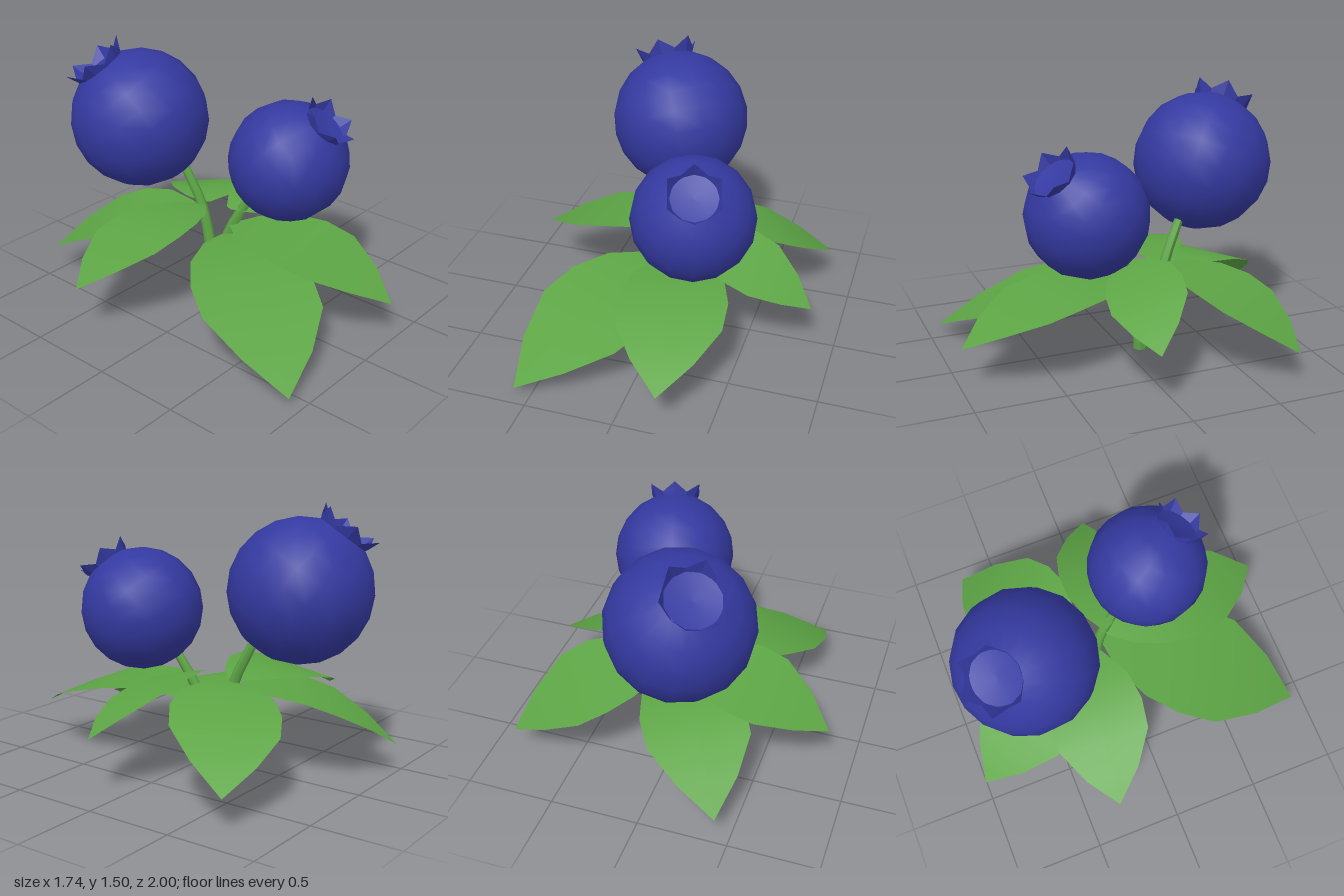
import * as THREE from 'three';

const blue = new THREE.MeshStandardMaterial({ color: 0x3439a0 });
const blueThin = new THREE.MeshStandardMaterial({ color: 0x3439a0, side: THREE.DoubleSide, flatShading: true });
const green = new THREE.MeshStandardMaterial({ color: 0x5da545 });
const greenThin = new THREE.MeshStandardMaterial({ color: 0x5da545, side: THREE.DoubleSide });

const V = (x, y, z) => new THREE.Vector3(x, y, z);

function addMesh(parent, name, geometry, material) {
  const mesh = new THREE.Mesh(geometry, material);
  mesh.name = name;
  parent.add(mesh);
  return mesh;
}

// Ring of six pointed teeth for a berry of radius 1
function crownGeometry(phase) {
  const n = 12, pos = [], index = [];
  for (let i = 0; i < n; i++) {
    const a = phase + (i / n) * Math.PI * 2;
    const [topR, topY] = i % 2 ? [0.4, 0.98] : [0.47, 1.13];
    pos.push(0.37 * Math.sin(a), 0.92, 0.37 * Math.cos(a));
    pos.push(topR * Math.sin(a), topY, topR * Math.cos(a));
    const b = i * 2, c = ((i + 1) % n) * 2;
    index.push(b, c, b + 1, c, c + 1, b + 1);
  }
  const g = new THREE.BufferGeometry();
  g.setAttribute('position', new THREE.Float32BufferAttribute(pos, 3));
  g.setIndex(index);
  g.computeVertexNormals();
  return g;
}

// Berry whose crown points along dir
function makeBerry(name, radius, center, dir, phase) {
  const berry = new THREE.Group();
  berry.name = name;
  const rim = Math.asin(0.37), profile = [];
  for (let i = 0; i <= 9; i++) {
    const a = (i / 9) * (Math.PI - rim);
    profile.push(new THREE.Vector2(Math.sin(a), -Math.cos(a)));
  }
  addMesh(berry, 'berryBody', new THREE.LatheGeometry(profile, 16), blue);
  const dish = [[0.37, 0.929], [0.2, 0.9], [0, 0.89]].map(p => new THREE.Vector2(...p));
  addMesh(berry, 'crownDish', new THREE.LatheGeometry(dish, 16), blue);
  addMesh(berry, 'crown', crownGeometry(phase), blueThin);

  const y = dir.clone().normalize();
  const x = V(0, 1, 0).cross(y).normalize();
  const z = x.clone().cross(y);
  berry.quaternion.setFromRotationMatrix(new THREE.Matrix4().makeBasis(x, y, z));
  berry.position.copy(center);
  berry.scale.setScalar(radius);
  return berry;
}

// Tapered stem: a tube whose rings shrink towards the berry
function stemGeometry(points, r0, r1) {
  const segments = 8, sides = 7;
  const curve = new THREE.CatmullRomCurve3(points);
  const g = new THREE.TubeGeometry(curve, segments, 1, sides);
  const p = g.attributes.position, v = V(0, 0, 0);
  for (let i = 0; i < p.count; i++) {
    const t = Math.floor(i / (sides + 1)) / segments;
    const c = curve.getPointAt(t);
    v.fromBufferAttribute(p, i).sub(c).multiplyScalar(r0 + (r1 - r0) * t).add(c);
    if (t === 0) v.y = 0;
    p.setXYZ(i, v.x, v.y, v.z);
  }
  g.computeVertexNormals();
  return g;
}

// Arched leaf: a plane bent from base to tip, widened by a profile
const leafProfile = [[0, 0.08], [0.1, 0.48], [0.27, 0.85], [0.45, 1], [0.63, 0.97], [0.83, 0.56], [1, 0]];
function leafGeometry(base, tip, halfWidth, arch, roll) {
  const rows = leafProfile.length - 1;
  const g = new THREE.PlaneGeometry(2, rows, 2, rows);
  const p = g.attributes.position;
  const f = V(tip.x - base.x, 0, tip.z - base.z).normalize();
  const side = V(-f.z, 0, f.x);
  for (let i = 0; i < p.count; i++) {
    const [t, w] = leafProfile[Math.round(p.getY(i) + rows / 2)];
    const s = p.getX(i) * w;
    const v = base.clone().lerp(tip, t).addScaledVector(side, s * halfWidth);
    v.y += 4 * arch * t * (1 - t) + s * roll;
    p.setXYZ(i, v.x, v.y, v.z);
  }
  g.computeVertexNormals();
  return g;
}

export function createModel() {
  const model = new THREE.Group();
  model.name = 'berrySprig';

  // Berries
  model.add(makeBerry('backBerry', 0.4, V(-0.1, 1.035, -0.56), V(-0.35, 0.8, -0.47), Math.PI / 6));
  model.add(makeBerry('frontBerry', 0.342, V(0.225, 0.893, 0.277), V(0.19, 0.77, 0.62), 0));

  // Stems
  addMesh(model, 'frontStem', stemGeometry(
    [V(0.08, 0, -0.1), V(0.1, 0.3, -0.08), V(0.12, 0.45, -0.03), V(0.16, 0.68, 0.1)], 0.043, 0.024), green);
  addMesh(model, 'backStem', stemGeometry(
    [V(0.08, 0, -0.11), V(0.09, 0.25, -0.19), V(0.08, 0.5, -0.245), V(0.04, 0.76, -0.36)], 0.04, 0.026), green);

  // Leaves: name, base, tip, half width, arch, roll
  const leaves = [
    ['rightLeaf', V(0.06, 0.52, -0.22), V(-0.87, 0.32, -0.32), 0.27, 0.1, -0.03],
    ['backLeaf', V(0.05, 0.46, -0.2), V(-0.43, 0.165, -1), 0.29, 0.14, 0],
    ['leftBackLeaf', V(0.1, 0.52, -0.23), V(0.845, 0.18, -0.71), 0.29, 0.11, 0.03],
    ['leftLeaf', V(0.08, 0.55, -0.04), V(0.87, 0.32, 0.12), 0.21, 0.085, -0.05],
    ['rightFrontLeaf', V(0.07, 0.38, -0.05), V(-0.59, 0.045, 0.935), 0.345, 0.13, 0.02],
    ['frontLeaf', V(0.1, 0.44, -0.03), V(0.24, 0.24, 0.995), 0.3, 0.11, 0],
  ];
  for (const [name, ...shape] of leaves) addMesh(model, name, leafGeometry(...shape), greenThin);

  return model;
}
